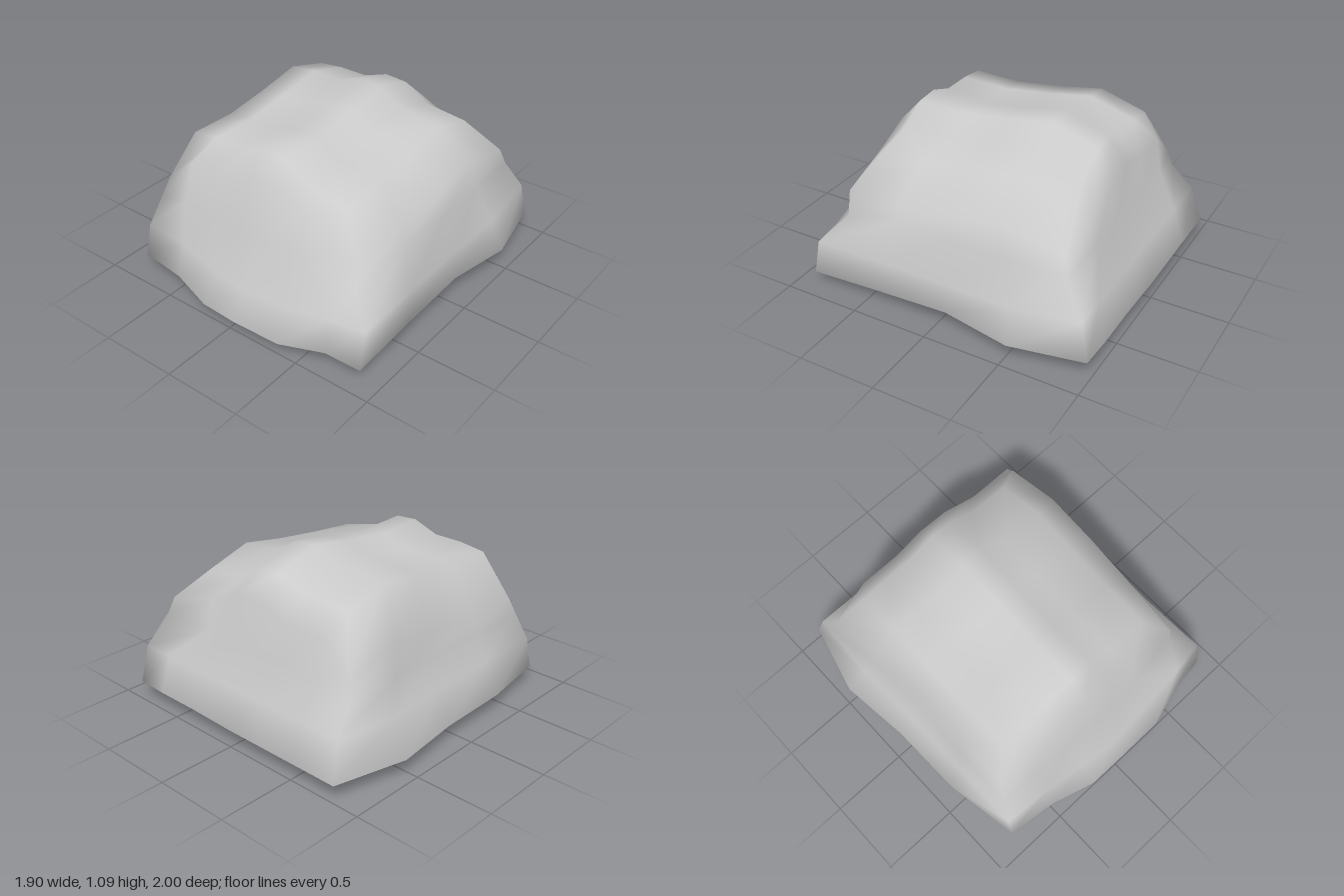
import * as THREE from 'three';
import { mergeVertices } from 'three/addons/utils/BufferGeometryUtils.js';

const lerp = THREE.MathUtils.lerp;
const same = (n, v) => Array(n).fill(v);

// spacing of the 7 columns (left to right) and 5 rows (back to front)
const topU = [0, 0.15, 0.325, 0.474, 0.605, 0.754, 1];
const baseU = [0, 0.19, 0.36, 0.5, 0.7, 0.87, 1];
const rowW = [0, 0.246, 0.484, 0.746, 1];

// crest heights across x and along z; together they shape the top
const crestX = [1.01, 1.03, 1.03, 1.09, 1.08, 0.98, 0.95];
const crestZ = [1.0, 1.09, 1.04, 1.0, 1.01];
const crest = (i, j) => crestX[i] + crestZ[j] - 1.09 - (i === 6 && j === 4 ? 0.04 : 0);

// heights of the base rim along its front and its +x side
const rimFront = [0.1, 0.1, 0.075, 0.06, 0.07, 0.1, 0.07];
const rimSide = [0.11, 0.11, 0.125, 0.095, 0.07];

// cross-sections from the base up: side edges per row, back/front edges per column
const layers = [
  // underside, set in from the rim, with one low point
  { u: baseU, xl: [-0.74, -0.84, -0.81, -0.8, -0.73], xr: [0.77, 0.85, 0.79, 0.78, 0.78],
    zb: same(7, -0.91), zf: [0.79, 0.83, 0.9, 0.9, 0.9, 0.83, 0.79],
    y: (i, j) => {
      if (i === 1 && j === 3) return 0;
      return j > 2 && i > 1 && i < 5 ? 0.06 : 0.1;
    } },
  // rim
  { u: baseU, xl: [-0.83, -0.95, -0.9, -0.89, -0.81], xr: [0.86, 0.95, 0.88, 0.87, 0.87],
    zb: [-1, -1, -1, -1, -0.99, -0.99, -0.98], zf: [0.88, 0.92, 1, 1, 1, 0.92, 0.89],
    y: (i, j) => {
      if (j === 4) return rimFront[i];
      return i === 6 ? rimSide[j] : 0.11;
    } },
  // foot of the walls
  { u: baseU, xl: [-0.8, -0.82, -0.8, -0.8, -0.8], xr: [0.84, 0.87, 0.86, 0.86, 0.87],
    zb: same(7, -0.93), zf: [0.84, 0.86, 0.89, 0.92, 0.89, 0.87, 0.84],
    y: (i, j) => {
      if (j === 0) return 0.35;
      return j === 4 && i > 1 && i < 5 ? 0.25 : 0.31;
    } },
  // middle of the walls
  { u: topU, xl: [-0.76, -0.76, -0.74, -0.75, -0.76], xr: [0.77, 0.78, 0.78, 0.76, 0.71],
    zb: same(7, -0.8), zf: [0.75, 0.77, 0.79, 0.79, 0.79, 0.77, 0.72],
    y: (i, j) => {
      if (i === 0) return 0.5;
      return i === 6 && j === 4 ? 0.45 : 0.56;
    } },
  // shoulder
  { u: topU, xl: [-0.73, -0.73, -0.7, -0.72, -0.73], xr: [0.74, 0.75, 0.75, 0.73, 0.7],
    zb: same(7, -0.77), zf: same(7, 0.7),
    y: (i, j) => {
      if (i === 0) return crest(i, j) - 0.31;
      return crest(i, j) - (i === 6 ? 0.2 : 0.14);
    } },
  // edge of the crest
  { u: topU, xl: same(5, -0.6), xr: same(5, 0.54), zb: same(7, -0.64), zf: same(7, 0.58), y: crest },
];

function point(layer, i, j) {
  const L = layers[layer];
  return [lerp(L.xl[j], L.xr[j], L.u[i]), L.y(i, j), lerp(L.zb[i], L.zf[i], rowW[j])];
}

// walk round the border of the grid: front, right, back, left
function borderLoop() {
  const loop = [];
  for (let i = 0; i < 6; i++) loop.push([i, 4]);
  for (let j = 4; j > 0; j--) loop.push([6, j]);
  for (let i = 6; i > 0; i--) loop.push([i, 0]);
  for (let j = 0; j < 4; j++) loop.push([0, j]);
  return loop;
}

export function createModel() {
  const positions = [];
  const quad = (a, b, c, d) => positions.push(...a, ...b, ...c, ...a, ...c, ...d);
  const last = layers.length - 1;

  // walls between neighbouring cross-sections
  const loop = borderLoop();
  for (let k = 0; k < last; k++) {
    loop.forEach((p, n) => {
      const q = loop[(n + 1) % loop.length];
      quad(point(k, ...p), point(k, ...q), point(k + 1, ...q), point(k + 1, ...p));
    });
  }

  // crest and underside
  for (let i = 0; i < 6; i++) {
    for (let j = 0; j < 4; j++) {
      quad(point(last, i, j + 1), point(last, i + 1, j + 1), point(last, i + 1, j), point(last, i, j));
      quad(point(0, i, j), point(0, i + 1, j), point(0, i + 1, j + 1), point(0, i, j + 1));
    }
  }

  let geometry = new THREE.BufferGeometry();
  geometry.setAttribute('position', new THREE.Float32BufferAttribute(positions, 3));
  geometry = mergeVertices(geometry, 1e-4);
  geometry.computeVertexNormals();

  const rock = new THREE.Mesh(geometry, new THREE.MeshStandardMaterial({ color: 0xcccccc }));
  rock.name = 'rock';
  const group = new THREE.Group();
  group.name = 'boulder';
  group.add(rock);
  return group;
}
